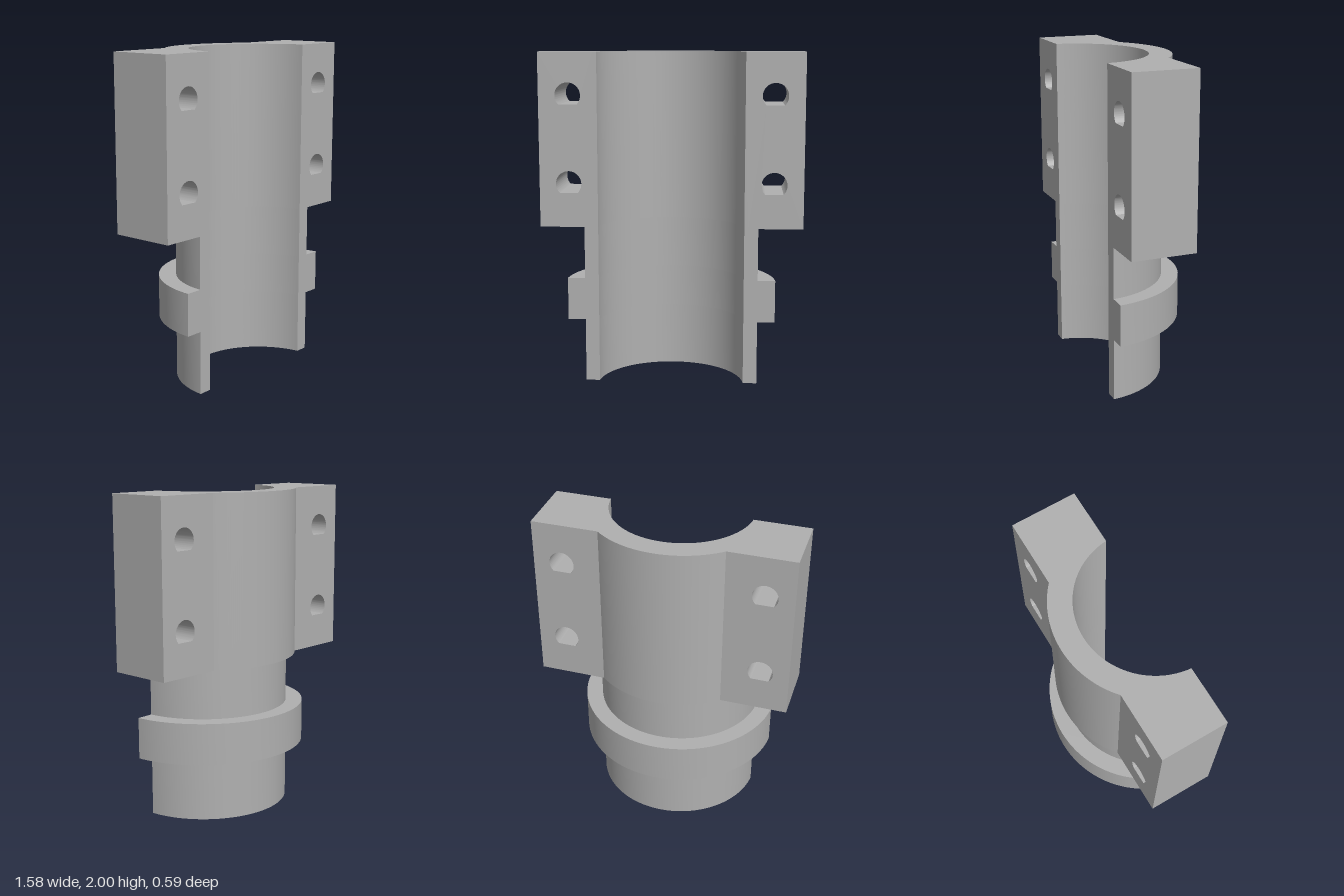
import * as THREE from 'three';
import { toCreasedNormals } from 'three/addons/utils/BufferGeometryUtils.js';

const AXIS_Z = 0.334;   // bore axis, just ahead of the split face
const FRONT_Z = 0.2945; // flat split face
const BACK_Z = -0.104;  // back of the clamp blocks
const BORE = 0.44, NECK = 0.523, COLLAR = 0.628, BODY = 0.578;
const CLAMP_Y = 0.956, CORE_X = 0.46, BLOCK_X = 0.788;

// Points along a circle about the bore axis, right to left, cut off at depth z.
// Plan shapes use y = -z so that they can be extruded upwards.
function arc(r, z, n = 64) {
  const start = Math.asin((AXIS_Z - z) / r);
  return Array.from({ length: n + 1 }, (_, i) => {
    const a = start + (Math.PI - 2 * start) * (i / n);
    return new THREE.Vector2(r * Math.cos(a), r * Math.sin(a) - AXIS_Z);
  });
}

// Extrude an outer outline minus the bore from y0 to y1
function section(outer, y0, y1) {
  const shape = new THREE.Shape([...outer, ...arc(BORE, FRONT_Z).reverse()]);
  const geo = new THREE.ExtrudeGeometry(shape, { depth: y1 - y0, bevelEnabled: false });
  geo.rotateX(-Math.PI / 2).translate(0, y0, 0);
  return toCreasedNormals(geo, 0.4);
}

// Teardrop bolt hole, pointed at the bottom
function teardrop(x, y, r = 0.0765) {
  const hole = new THREE.Path();
  hole.moveTo(x, y - r * Math.SQRT2);
  hole.absarc(x, y, r, -Math.PI / 4, Math.PI * 1.25, false);
  hole.closePath();
  return hole;
}

// Clamp block on one side, with two bolt holes running front to back
function clampBlock(side) {
  const x0 = Math.min(side * CORE_X, side * BLOCK_X);
  const x1 = Math.max(side * CORE_X, side * BLOCK_X);
  const shape = new THREE.Shape([
    new THREE.Vector2(x0, CLAMP_Y), new THREE.Vector2(x1, CLAMP_Y),
    new THREE.Vector2(x1, 2), new THREE.Vector2(x0, 2),
  ]);
  for (const y of [1.217, 1.743]) shape.holes.push(teardrop(side * 0.613, y));
  const geo = new THREE.ExtrudeGeometry(shape, {
    depth: FRONT_Z - BACK_Z, bevelEnabled: false, curveSegments: 32,
  });
  geo.translate(0, 0, BACK_Z);
  return toCreasedNormals(geo, 0.4);
}

export function createModel() {
  const group = new THREE.Group();
  const grey = new THREE.MeshStandardMaterial({ color: 0xb0b0b0 });
  grey.name = 'plainGrey';
  const add = (name, geo) => {
    const mesh = new THREE.Mesh(geo, grey);
    mesh.name = name;
    group.add(mesh);
  };

  // Half-round neck with its raised collar
  add('lowerNeck', section(arc(NECK, FRONT_Z), 0, 0.384));
  add('collar', section(arc(COLLAR, FRONT_Z), 0.384, 0.641));
  add('upperNeck', section(arc(NECK, FRONT_Z), 0.641, CLAMP_Y));

  // Clamp body: domed back between square shoulders
  add('clampCore', section([
    new THREE.Vector2(CORE_X, -FRONT_Z),
    new THREE.Vector2(CORE_X, -BACK_Z),
    ...arc(BODY, BACK_Z),
    new THREE.Vector2(-CORE_X, -BACK_Z),
    new THREE.Vector2(-CORE_X, -FRONT_Z),
  ], CLAMP_Y, 2));

  add('leftClampBlock', clampBlock(1));
  add('rightClampBlock', clampBlock(-1));
  return group;
}
